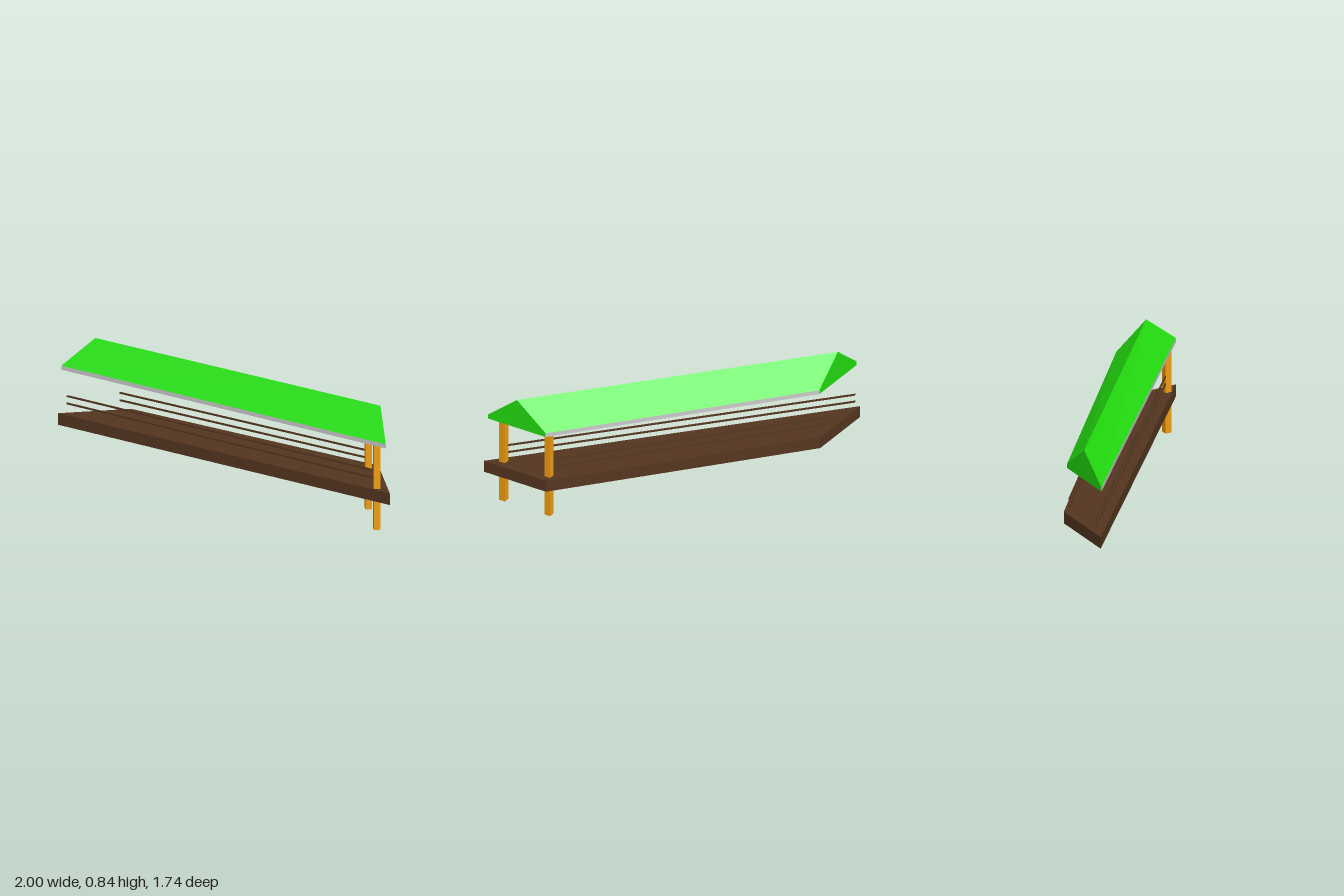
import * as THREE from 'three';

const material = (color) => new THREE.MeshStandardMaterial({ color, flatShading: true });
const deckBrown = material(0x553620);
const postOrange = material(0xf09e10);
const roofGreen = material(0x24e010);
const grey = material(0xcccccc);

// Vertical prism over a plan outline of [x, z] points
function prism(name, plan, y0, y1, mat) {
  const shape = new THREE.Shape(plan.map(([x, z]) => new THREE.Vector2(x, -z)));
  const geo = new THREE.ExtrudeGeometry(shape, { depth: y1 - y0, bevelEnabled: false });
  geo.rotateX(-Math.PI / 2).translate(0, y0, 0);
  const mesh = new THREE.Mesh(geo, mat);
  mesh.name = name;
  return mesh;
}

// Mesh made of flat convex polygons, each fanned into triangles
function polygons(name, faces, mat) {
  const pos = [];
  for (const f of faces) {
    for (let i = 1; i < f.length - 1; i++) pos.push(...f[0], ...f[i], ...f[i + 1]);
  }
  const geo = new THREE.BufferGeometry();
  geo.setAttribute('position', new THREE.Float32BufferAttribute(pos, 3));
  geo.computeVertexNormals();
  const mesh = new THREE.Mesh(geo, mat);
  mesh.name = name;
  return mesh;
}

// Gable section: front eave, ridge, back eave, from plan points
function gable(front, ridge, back) {
  const eave = 0.655, under = 0.625, top = 0.843;
  const at = ([x, z], y) => [x, y, z];
  return [at(front, under), at(front, eave), at(ridge, top), at(back, eave), at(back, under)];
}

export function createModel() {
  const model = new THREE.Group();
  model.name = 'coveredWalkway';

  // Skewed deck
  model.add(prism('deck', [[-1, -0.872], [1, 0.872], [1, 0.372], [-0.5, -0.872]], 0.215, 0.3, deckBrown));

  // Posts at the near end only
  for (const [name, z] of [['frontPost', 0.757], ['backPost', 0.393]]) {
    const post = new THREE.Mesh(new THREE.BoxGeometry(0.046, 0.645, 0.046), postOrange);
    post.position.set(0.928, 0.3225, z);
    post.name = name;
    model.add(post);
  }

  // Two handrails along each side
  const rails = [
    ['frontRail', [0.925, 0.75], [-0.935, -0.872]],
    ['backRail', [0.925, 0.388], [-0.572, -0.872]],
  ];
  const h = 0.006;
  for (const [name, [x0, z0], [x1, z1]] of rails) {
    for (const y of [0.367, 0.421]) {
      const plan = [[x1 - h, z1], [x0 - h, z0], [x0 + h, z0], [x1 + h, z1]];
      model.add(prism(name, plan, y - h, y + h, deckBrown));
    }
  }

  // Roof: two vertical gable ends joined by slopes, eave edges and a flat underside
  const east = gable([0.975, 0.855], [0.975, 0.622], [0.975, 0.39]);
  const west = gable([-0.98, -0.855], [-0.748, -0.855], [-0.515, -0.855]);
  const side = (i) => {
    const j = (i + 1) % 5;
    return [west[i], east[i], east[j], west[j]];
  };
  model.add(polygons('roof', [side(1), side(2), [...east].reverse(), west], roofGreen));
  model.add(polygons('ceilingAndEaves', [side(0), side(3), side(4)], grey));

  return model;
}
